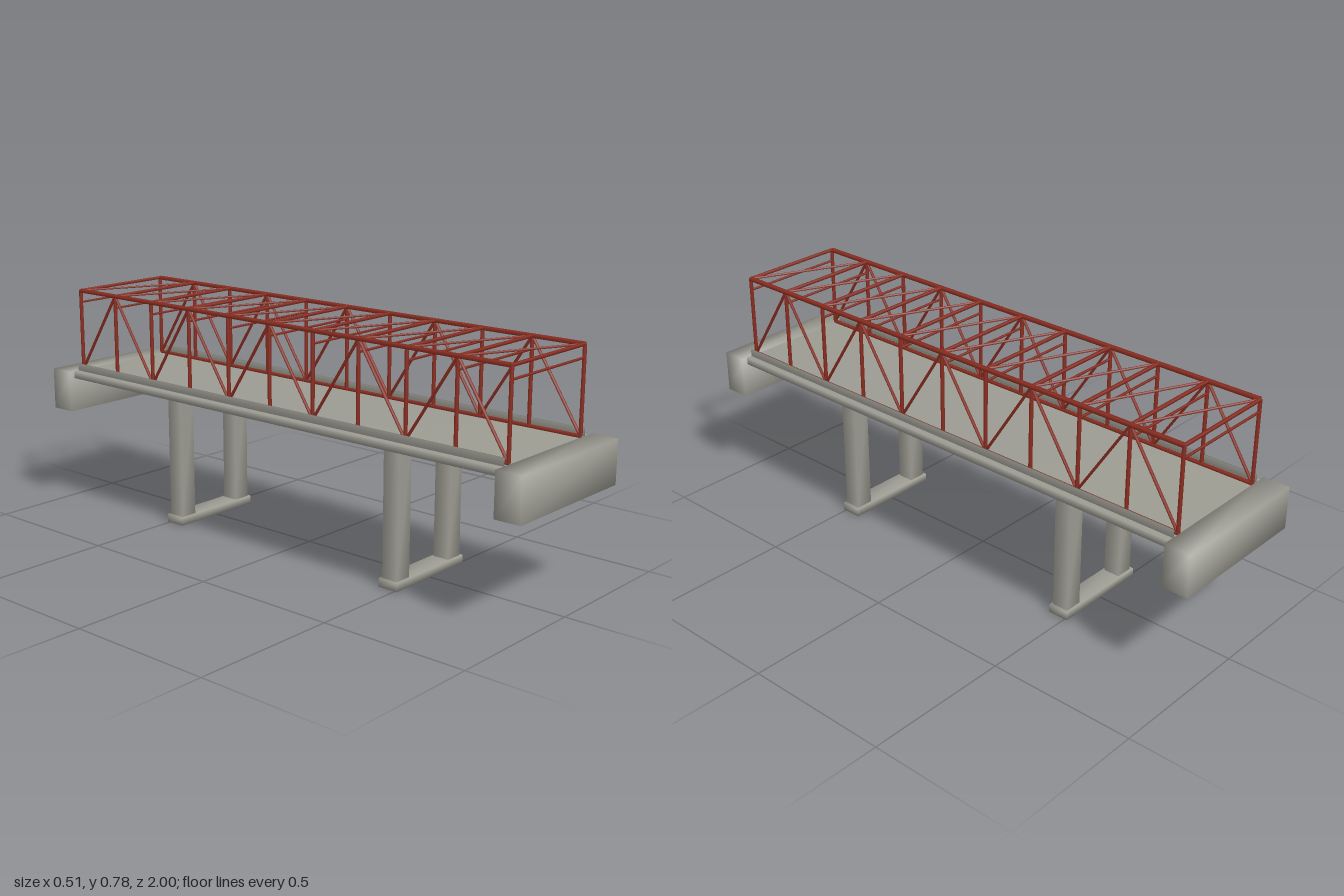
import * as THREE from 'three';
import { mergeVertices } from 'three/addons/utils/BufferGeometryUtils.js';

const concrete = new THREE.MeshStandardMaterial({ color: 0x9c9b92 });
concrete.name = 'concrete grey';
const steel = new THREE.MeshStandardMaterial({ color: 0x8f2f22 });
steel.name = 'oxide red steel';

// Box with shared corners, so its shading runs smoothly around the edges
function softBox(w, h, d) {
  const g = new THREE.BoxGeometry(w, h, d);
  g.deleteAttribute('normal');
  g.deleteAttribute('uv');
  const merged = mergeVertices(g);
  merged.computeVertexNormals();
  return merged;
}

// Concrete block given by its centre in x and z and its bottom and top
function block(parent, name, x, z, w, d, y0, y1) {
  const m = new THREE.Mesh(softBox(w, y1 - y0, d), concrete);
  m.name = name;
  m.position.set(x, (y0 + y1) / 2, z);
  parent.add(m);
}

// Square steel member running from point a to point b
function member(parent, name, a, b, t) {
  const p = new THREE.Vector3(...a), q = new THREE.Vector3(...b);
  const m = new THREE.Mesh(softBox(t, t, p.distanceTo(q)), steel);
  m.name = name;
  m.position.copy(p).add(q).multiplyScalar(0.5);
  m.lookAt(q);
  parent.add(m);
}

export function createModel() {
  const bridge = new THREE.Group();
  bridge.name = 'trussBridge';

  const END = 0.91, PANELS = 10, STEP = (2 * END) / PANELS;
  const X = 0.19, LOW = 0.494, TOP = 0.775, SWAY = 0.734;
  const nodeZ = (i) => -END + i * STEP;

  // Deck slab and thin parapets
  block(bridge, 'deck', 0, 0, 0.47, 2 * END, 0.465, 0.49);
  for (const s of [-1, 1]) {
    block(bridge, 'parapet', s * 0.212, 0, 0.005, 2 * END, 0.49, 0.515);
  }

  // Abutments and two-column piers at each end
  for (const s of [-1, 1]) {
    block(bridge, 'abutment', 0, s * 0.955, 0.51, 0.09, 0.346, 0.49);
    const pier = new THREE.Group();
    pier.name = 'pier';
    pier.position.z = s * 0.473;
    block(pier, 'footing', 0, 0, 0.344, 0.072, 0, 0.028);
    block(pier, 'pierCap', 0, 0, 0.344, 0.072, 0.455, 0.466);
    for (const c of [-1, 1]) block(pier, 'column', c * 0.132, 0, 0.061, 0.058, 0.027, 0.456);
    bridge.add(pier);
  }

  // Side trusses: chords, posts and alternating diagonals
  for (const s of [-1, 1]) {
    const truss = new THREE.Group();
    truss.name = s > 0 ? 'leftTruss' : 'rightTruss';
    const x = s * X;
    member(truss, 'topChord', [x, TOP, -END], [x, TOP, END], 0.012);
    member(truss, 'bottomChord', [x, LOW, -END], [x, LOW, END], 0.01);
    for (let i = 0; i <= PANELS; i++) {
      member(truss, 'post', [x, LOW, nodeZ(i)], [x, TOP, nodeZ(i)], 0.009);
      if (i === PANELS) continue;
      const [ya, yb] = i % 2 ? [TOP, LOW] : [LOW, TOP];
      member(truss, 'diagonal', [x, ya, nodeZ(i)], [x, yb, nodeZ(i + 1)], 0.007);
    }
    bridge.add(truss);
  }

  // Overhead struts, sway struts and lateral bracing
  const bracing = new THREE.Group();
  bracing.name = 'topBracing';
  for (let i = 0; i <= PANELS; i++) {
    const z = nodeZ(i);
    member(bracing, 'topStrut', [-X, TOP, z], [X, TOP, z], 0.009);
    member(bracing, 'swayStrut', [-X, SWAY, z], [X, SWAY, z], 0.006);
    if (i < PANELS) member(bracing, 'lateralBrace', [-X, TOP, z], [X, TOP, nodeZ(i + 1)], 0.006);
  }
  bridge.add(bracing);

  return bridge;
}
